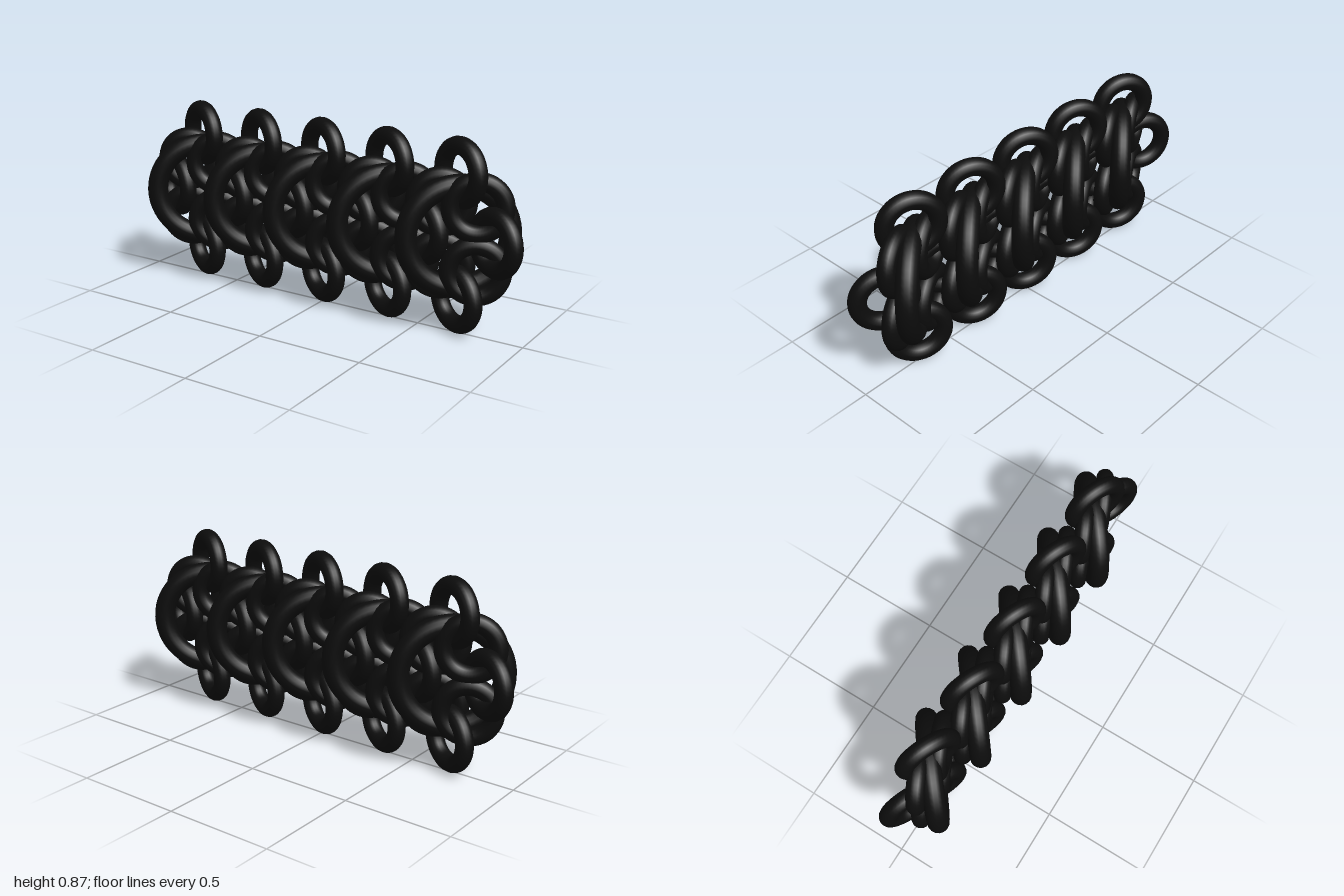
import * as THREE from 'three';

// Woven chain band: five cells of small tilted rings, each bound by one large ring.
const PITCH = 0.3415;   // distance between cells
const ROW = 0.14;       // distance between ring rows
const MID_Y = 0.435;
const SMALL_TILT = THREE.MathUtils.degToRad(25);
const BIG_TILT = THREE.MathUtils.degToRad(39);

export function createModel() {
  const model = new THREE.Group();
  model.name = 'chainBand';

  const metal = new THREE.MeshStandardMaterial({ color: 0x0c0c0c });
  const smallRing = new THREE.TorusGeometry(0.115, 0.04, 16, 48);
  const bigRing = new THREE.TorusGeometry(0.227, 0.048, 16, 56);

  function addRing(name, geometry, x, row, tilt) {
    const ring = new THREE.Mesh(geometry, metal);
    ring.name = name;
    ring.position.set(x, MID_Y + row * ROW, 0);
    ring.rotation.y = tilt;
    model.add(ring);
  }

  for (let i = -2; i <= 2; i++) {
    const x = i * PITCH;
    // Large ring through the middle of the cell
    addRing('largeRing', bigRing, x, 0, BIG_TILT);
    for (const side of [-1, 1]) {
      // Edge rings at the top and bottom of the band
      addRing(side > 0 ? 'topRing' : 'bottomRing', smallRing, x, 2 * side, -SMALL_TILT);
      // Linking rings, tilted the other way
      for (const dx of [-1, 1]) {
        addRing('linkRing', smallRing, x + dx * PITCH / 4, side, SMALL_TILT);
      }
    }
  }

  // Middle row of rings joining the cells, and one at each end
  for (let i = 0; i < 6; i++) {
    addRing('joiningRing', smallRing, (i - 2.5) * PITCH, 0, -SMALL_TILT);
  }

  return model;
}
